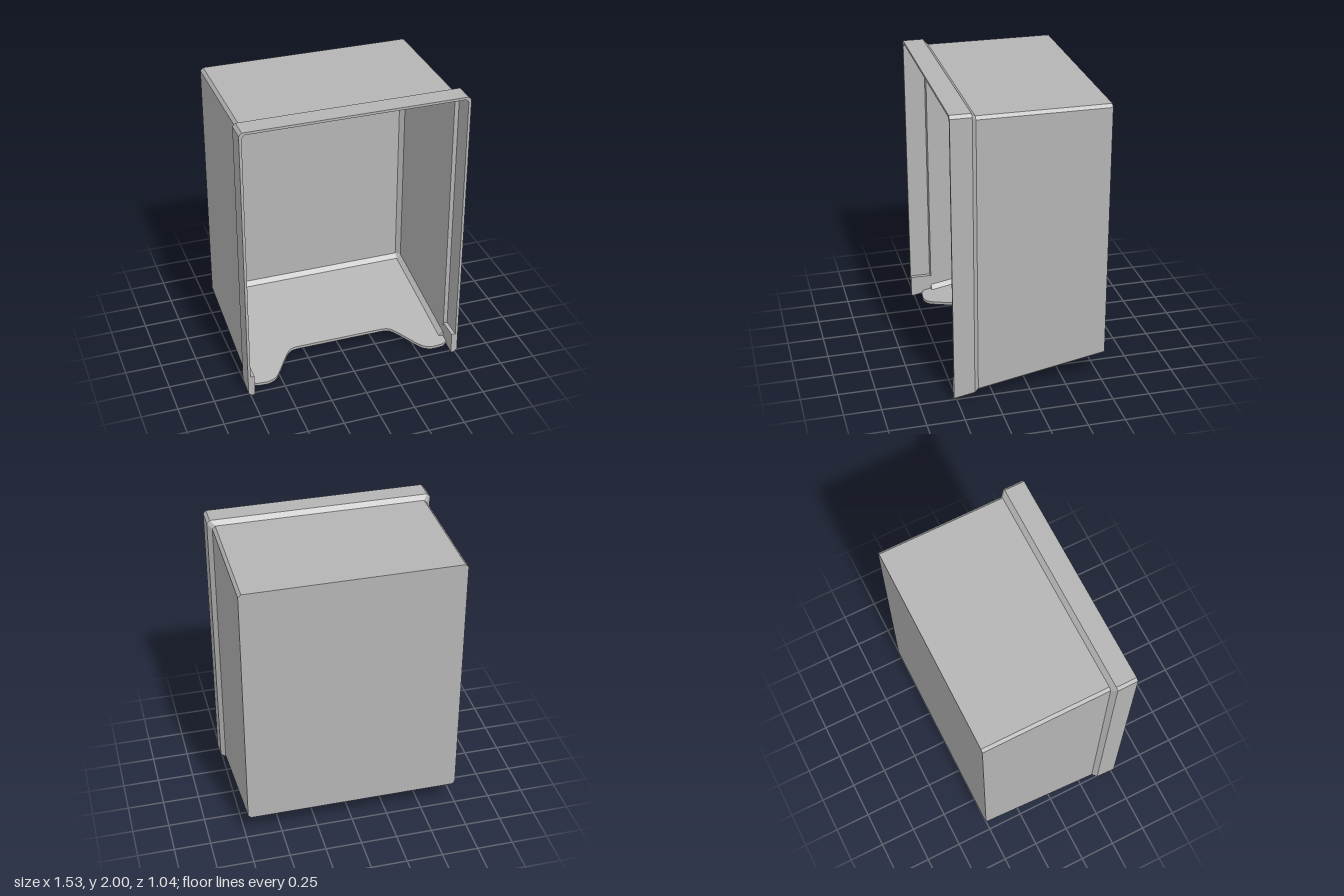
import * as THREE from 'three';

// Height of the sloping underside at depth z
const base = (z) => 0.094 - 0.18 * z;
const FLOOR = 0.02;

// Shear a geometry so it follows the sloping underside
function slope(geo) {
  const p = geo.attributes.position;
  for (let i = 0; i < p.count; i++) p.setY(i, p.getY(i) + base(p.getZ(i)));
  geo.computeVertexNormals();
  return geo;
}

// Chamfered cross-section, from lower left side over the top to the other side
function ring([z, w, top, c, lift]) {
  const b = base(z) + lift;
  const half = [[w - c, b], [w, b + c], [w, top - c], [w - c, top]];
  const other = half.map(([x, y]) => [-x, y]).reverse();
  return [...half, ...other].map(([x, y]) => [x, y, z]);
}

// Continuous skin: outside back to front, around the rim, then inside to the back
function shellGeometry() {
  const rings = [
    [-0.52, 0.735, 1.97, 0.02, 0],
    [0.35, 0.735, 1.97, 0.02, 0],
    [0.38, 0.765, 2.0, 0.02, 0],
    [0.52, 0.765, 2.0, 0.02, 0],
    [0.52, 0.747, 1.983, 0.02, FLOOR],
    [0.375, 0.747, 1.983, 0.02, FLOOR],
    [0.37, 0.72, 1.955, 0.03, FLOOR],
    [-0.46, 0.72, 1.955, 0.03, FLOOR],
    [-0.49, 0.69, 1.925, 0.001, FLOOR + 0.025],
  ].map(ring);
  const out = [];
  const tri = (a, b, c) => out.push(...a, ...b, ...c);
  for (let i = 0; i < rings.length - 1; i++) {
    for (let j = 0; j < 7; j++) {
      const [a, b] = [rings[i][j], rings[i][j + 1]];
      const [d, c] = [rings[i + 1][j], rings[i + 1][j + 1]];
      tri(a, b, c);
      tri(a, c, d);
    }
  }
  // Inner floor-to-back chamfer, then both faces of the back wall
  const [p, q] = [rings[7], rings[8]];
  tri(p[7], p[0], q[0]);
  tri(p[7], q[0], q[7]);
  const outer = rings[0];
  for (let j = 1; j < 7; j++) {
    tri(outer[0], outer[j + 1], outer[j]);
    tri(q[0], q[j], q[j + 1]);
  }
  const geo = new THREE.BufferGeometry();
  geo.setAttribute('position', new THREE.Float32BufferAttribute(out, 3));
  geo.computeVertexNormals();
  return geo;
}

// Flat plate drawn in plan (x, z) and thickened upwards
function plate(points, depth) {
  const shape = new THREE.Shape(points.map(([x, z]) => new THREE.Vector2(x, -z)));
  const geo = new THREE.ExtrudeGeometry(shape, { depth, bevelEnabled: false });
  return geo.rotateX(-Math.PI / 2);
}

const mirrored = (half) => [...half, ...half.map(([x, z]) => [-x, z]).reverse()];

function floorGeometry() {
  // Scooped front edge
  const scoop = new THREE.SplineCurve([
    [0.32, 0.2], [0.375, 0.215], [0.43, 0.28], [0.5, 0.38], [0.55, 0.435], [0.61, 0.455],
  ].map(([x, z]) => new THREE.Vector2(x, z))).getPoints(16).map((v) => [v.x, v.y]);
  const half = [
    ...scoop, [0.685, 0.45], [0.72, 0.43], [0.72, 0.52], [0.745, 0.52],
    [0.745, 0.38], [0.715, 0.35], [0.715, -0.519],
  ];
  return slope(plate(mirrored(half), FLOOR));
}

function footGeometry() {
  const geo = plate(mirrored([[0.375, -0.25], [0.375, 0.01], [0.54, 0.01], [0.54, -0.4]]), 0.05);
  geo.translate(0, -0.05, 0);
  // Taper the outer walls towards the underside
  const p = geo.attributes.position;
  for (let i = 0; i < p.count; i++) {
    if (p.getY(i) > -0.025) continue;
    const x = p.getX(i), z = p.getZ(i);
    if (Math.abs(x) > 0.5) p.setX(i, x - Math.sign(x) * 0.035);
    if (z < -0.38) p.setZ(i, z + 0.04);
    if (z > 0) p.setZ(i, 0);
  }
  return slope(geo);
}

export function createModel() {
  const group = new THREE.Group();
  group.name = 'openBin';
  const grey = new THREE.MeshStandardMaterial({ color: 0xb4b4b4 });
  grey.name = 'grey plastic';

  const add = (name, geo) => {
    const mesh = new THREE.Mesh(geo, grey);
    mesh.name = name;
    group.add(mesh);
    return mesh;
  };

  add('shell', shellGeometry());
  add('floor', floorGeometry());
  add('foot', footGeometry());

  // Solid stops closing the rim groove at the bottom
  for (const s of [1, -1]) {
    const stop = new THREE.BoxGeometry(0.028, 0.2, 0.149);
    stop.translate(s * 0.734, 0.12, 0.4455);
    add(s > 0 ? 'leftRimStop' : 'rightRimStop', slope(stop));
  }
  // Keep the stop tops level and their undersides on the floor plate
  for (const mesh of group.children.slice(3)) {
    const p = mesh.geometry.attributes.position;
    for (let i = 0; i < p.count; i++) {
      if (p.getY(i) > 0.12) p.setY(i, 0.155);
    }
    mesh.geometry.computeVertexNormals();
  }
  return group;
}
